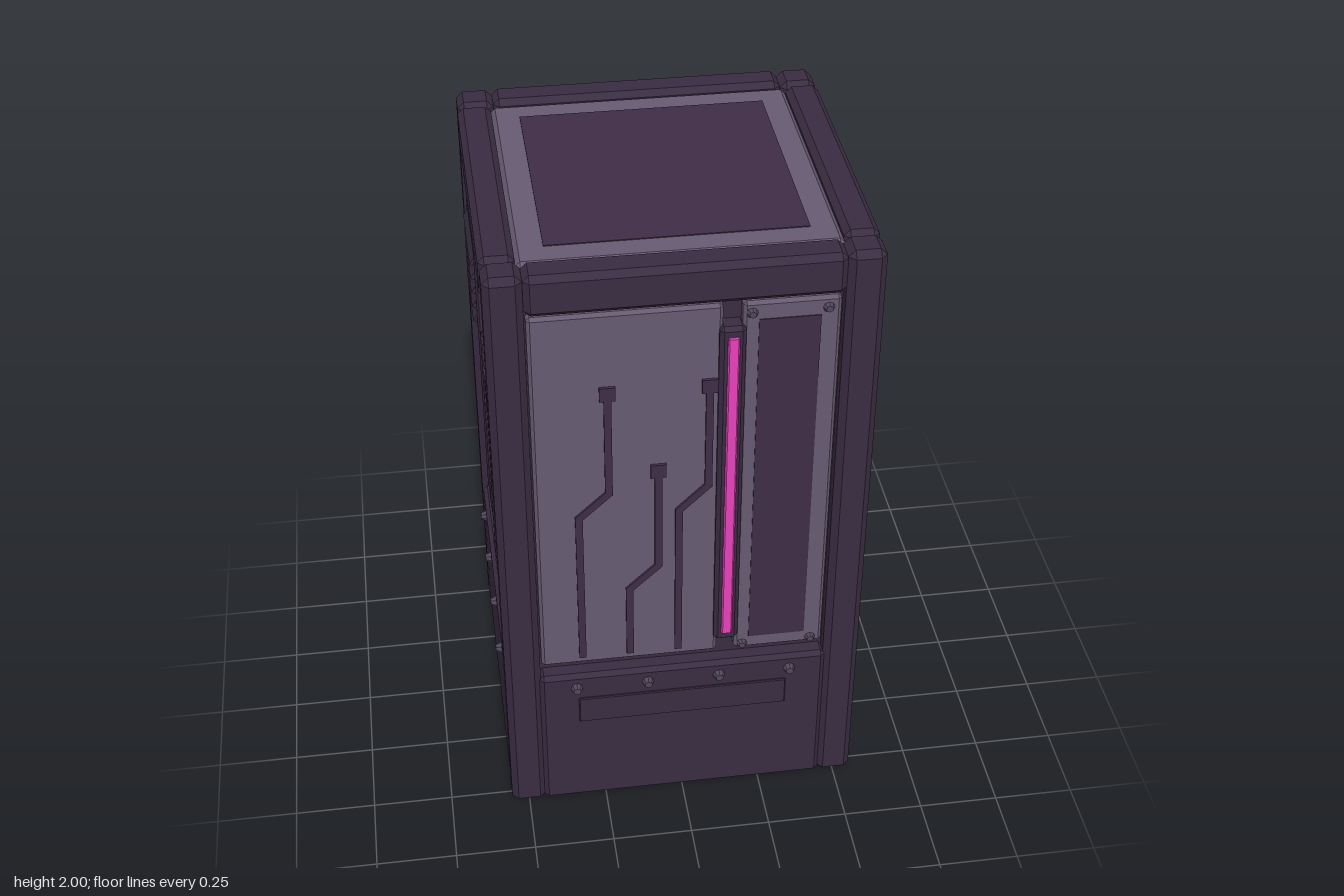
import * as THREE from 'three';
import { ConvexGeometry } from 'three/addons/geometries/ConvexGeometry.js';

const mat = (name, color) => {
  const m = new THREE.MeshStandardMaterial({ color });
  m.name = name;
  return m;
};
const M = {
  frame: mat('dark plum frame', 0x3a2c41),
  panel: mat('muted violet panel', 0x665a71),
  inset: mat('dark inset', 0x3f2d45),
  neon: mat('magenta neon', 0xe83fba),
  hazard: mat('amber stripe', 0xf0a422),
  rivet: mat('grey rivet', 0x51475a),
};

function add(parent, name, geometry, material, x = 0, y = 0, z = 0) {
  const mesh = new THREE.Mesh(geometry, material);
  mesh.name = name;
  mesh.position.set(x, y, z);
  parent.add(mesh);
  return mesh;
}

// Box with every edge and corner cut by c
function chamferBox(w, h, d, c) {
  const pts = [];
  for (const sx of [-1, 1]) for (const sy of [-1, 1]) for (const sz of [-1, 1])
    for (const a of [0, 1, 2]) {
      const e = [w / 2, h / 2, d / 2].map((v, i) => (i === a ? v : v - c));
      pts.push(new THREE.Vector3(sx * e[0], sy * e[1], sz * e[2]));
    }
  return new ConvexGeometry(pts);
}

// Chamfered block given by its x, y and z ranges
function block(parent, name, material, [x0, x1], [y0, y1], [z0, z1], c = 0.01) {
  return add(parent, name, chamferBox(x1 - x0, y1 - y0, z1 - z0, c), material,
    (x0 + x1) / 2, (y0 + y1) / 2, (z0 + z1) / 2);
}

// Straight bar from a to b lying on a wall at depth z
function stroke(parent, name, material, [ax, ay], [bx, by], width, depth, z, extra = 0) {
  const len = Math.hypot(bx - ax, by - ay) + extra;
  const bar = add(parent, name, new THREE.BoxGeometry(len, width, depth), material,
    (ax + bx) / 2, (ay + by) / 2, z + depth / 2);
  bar.rotation.z = Math.atan2(by - ay, bx - ax);
}

function rivet(parent, name, x, y, z, r, h) {
  const g = new THREE.CylinderGeometry(r * 0.6, r, h, 8).toNonIndexed();
  g.computeVertexNormals();
  add(parent, name, g, M.rivet, x, y, z + h / 2).rotation.x = Math.PI / 2;
}

const WALL = 0.535;  // face of the upper panels
const BASE = 0.553;  // face of the lower panel

// One wall in its own frame: x right, y up, z outward; s is the side of the narrow panel
function wall(name, angle, s) {
  const g = new THREE.Group();
  g.name = name;
  g.rotation.y = angle;
  const range = (a, b) => (s > 0 ? [a, b] : [-b, -a]);
  block(g, 'topBeam', M.frame, [-0.445, 0.445], [1.87, 2], [0.455, 0.557], 0.018);
  block(g, 'lowerPanel', M.frame, [-0.45, 0.45], [0.003, 0.535], [0.45, BASE], 0.014);
  block(g, 'widePanel', M.panel, range(-0.44, 0.105), [0.57, 1.857], [0.48, WALL]);
  block(g, 'narrowPanel', M.panel, range(0.16, 0.437), [0.57, 1.857], [0.48, WALL]);
  add(g, 'narrowPanelInset', new THREE.BoxGeometry(0.175, 1.18, 0.006), M.inset, s * 0.292, 1.21, WALL);
  for (const x of [-0.335, -0.112, 0.112, 0.335]) rivet(g, 'baseRivet', x, 0.485, BASE - 0.002, 0.02, 0.02);
  return g;
}

// Circuit trace: rises, jogs diagonally, rises again to a square pad
function traces(parent, list) {
  for (const [x0, x1, y1, y2, top] of list) {
    const path = [[x0, 0.6], [x0, y1], [x1, y2], [x1, top]];
    for (let i = 0; i < 3; i++)
      stroke(parent, 'circuitTrace', M.inset, path[i], path[i + 1], 0.022, 0.007, WALL, i === 1 ? 0.012 : 0);
    add(parent, 'circuitPad', new THREE.BoxGeometry(0.046, 0.046, 0.009), M.inset, x1, top, WALL + 0.0045);
  }
}

// Keeps the part of a polygon where side * x <= limit
function clip(poly, side, limit) {
  const out = [];
  poly.forEach((p, i) => {
    const q = poly[(i + 1) % poly.length];
    const dp = limit - side * p.x, dq = limit - side * q.x;
    if (dp >= 0) out.push(p);
    if (dp * dq < 0) out.push(p.clone().lerp(q, dp / (dp - dq)));
  });
  return out;
}

export function createModel() {
  const model = new THREE.Group();
  model.name = 'kioskBlock';

  // Core, corner posts and roof
  block(model, 'core', M.frame, [-0.5, 0.5], [0.003, 1.94], [-0.5, 0.5], 0.003);
  for (const x of [-0.5, 0.5]) for (const z of [-0.5, 0.5])
    add(model, 'cornerPost', chamferBox(0.11, 2, 0.11, 0.02), M.frame, x, 1, z);
  block(model, 'roofPanel', M.panel, [-0.456, 0.456], [1.9, 1.985], [-0.456, 0.456], 0.014);
  add(model, 'roofInset', new THREE.BoxGeometry(0.745, 0.006, 0.745), M.inset, 0, 1.985, 0);

  const front = wall('frontWall', 0, 1);
  const neonSide = wall('leftWall', Math.PI / 2, -1);
  const back = wall('backWall', Math.PI, 1);
  const ventSide = wall('rightWall', -Math.PI / 2, -1);
  model.add(front, neonSide, back, ventSide);

  // Front: light tube, screws, circuit and blank plate
  block(front, 'lightHousing', M.frame, [0.093, 0.168], [0.63, 1.79], [0.49, 0.556], 0.012);
  block(front, 'lightTube', M.neon, [0.115, 0.148], [0.66, 1.76], [0.54, 0.562], 0.004);
  for (const x of [0.185, 0.4]) for (const y of [0.592, 1.822]) rivet(front, 'panelScrew', x, y, WALL, 0.017, 0.012);
  block(front, 'lowerPlate', M.frame, [-0.33, 0.325], [0.343, 0.442], [0.54, 0.56], 0.003);
  traces(front, [
    [-0.312, -0.222, 1.15, 1.235, 1.59],
    [-0.165, -0.077, 0.86, 0.945, 1.303],
    [-0.016, 0.07, 1.15, 1.235, 1.59],
  ]);

  // Back: circuit and hazard band
  traces(back, [
    [-0.312, -0.252, 0.91, 0.99, 1.395],
    [-0.165, -0.21, 0.94, 1.0, 1.375],
    [-0.016, -0.105, 1.13, 1.21, 1.575],
  ]);
  block(back, 'hazardPlate', M.inset, [-0.43, 0.43], [0.22, 0.42], [0.54, 0.557], 0.002);
  for (let i = 0; i < 9; i++) {
    const x = -0.613 + i * 0.126;
    let poly = [[x, 0.222], [x + 0.07, 0.222], [x + 0.24, 0.418], [x + 0.17, 0.418]]
      .map(p => new THREE.Vector2(...p));
    poly = clip(clip(poly, 1, 0.428), -1, 0.428);
    if (poly.length > 2) add(back, 'hazardStripe', new THREE.ShapeGeometry(new THREE.Shape(poly)), M.hazard, 0, 0, 0.5595);
  }

  // Vent side: circuit and slatted vent
  traces(ventSide, [
    [0.021, 0.09, 0.92, 0.99, 1.335],
    [0.169, 0.115, 0.92, 0.99, 1.29],
    [0.317, 0.405, 0.92, 1.0, 1.3],
  ]);
  block(ventSide, 'ventFrame', M.frame, [-0.36, -0.02], [1.45, 1.735], [0.51, 0.55], 0.006);
  for (let i = 0; i < 5; i++) {
    const slat = add(ventSide, 'ventSlat', new THREE.BoxGeometry(0.29, 0.03, 0.01), M.frame, -0.19, 1.493 + i * 0.05, 0.551);
    slat.rotation.x = -0.5;
  }

  // Neon side: abstract ornament of separate bars and chevrons
  const bars = [
    [[0.16, 1.67], [0.16, 1.595]], [[0.05, 1.56], [0.275, 1.56]],
    [[0.05, 1.365], [0.16, 1.47]], [[0.16, 1.47], [0.27, 1.365]],
    [[0.05, 1.28], [0.275, 1.28]], [[0.066, 1.28], [0.066, 0.98]], [[0.12, 1.185], [0.275, 1.185]],
    [[0.05, 0.91], [0.16, 0.805]], [[0.16, 0.805], [0.27, 0.91]],
    [[0.05, 0.71], [0.125, 0.71]], [[0.16, 0.76], [0.16, 0.6]], [[0.257, 0.8], [0.257, 0.6]],
  ];
  for (const [a, b] of bars) stroke(neonSide, 'neonBar', M.neon, a, b, 0.036, 0.018, WALL);

  return model;
}
